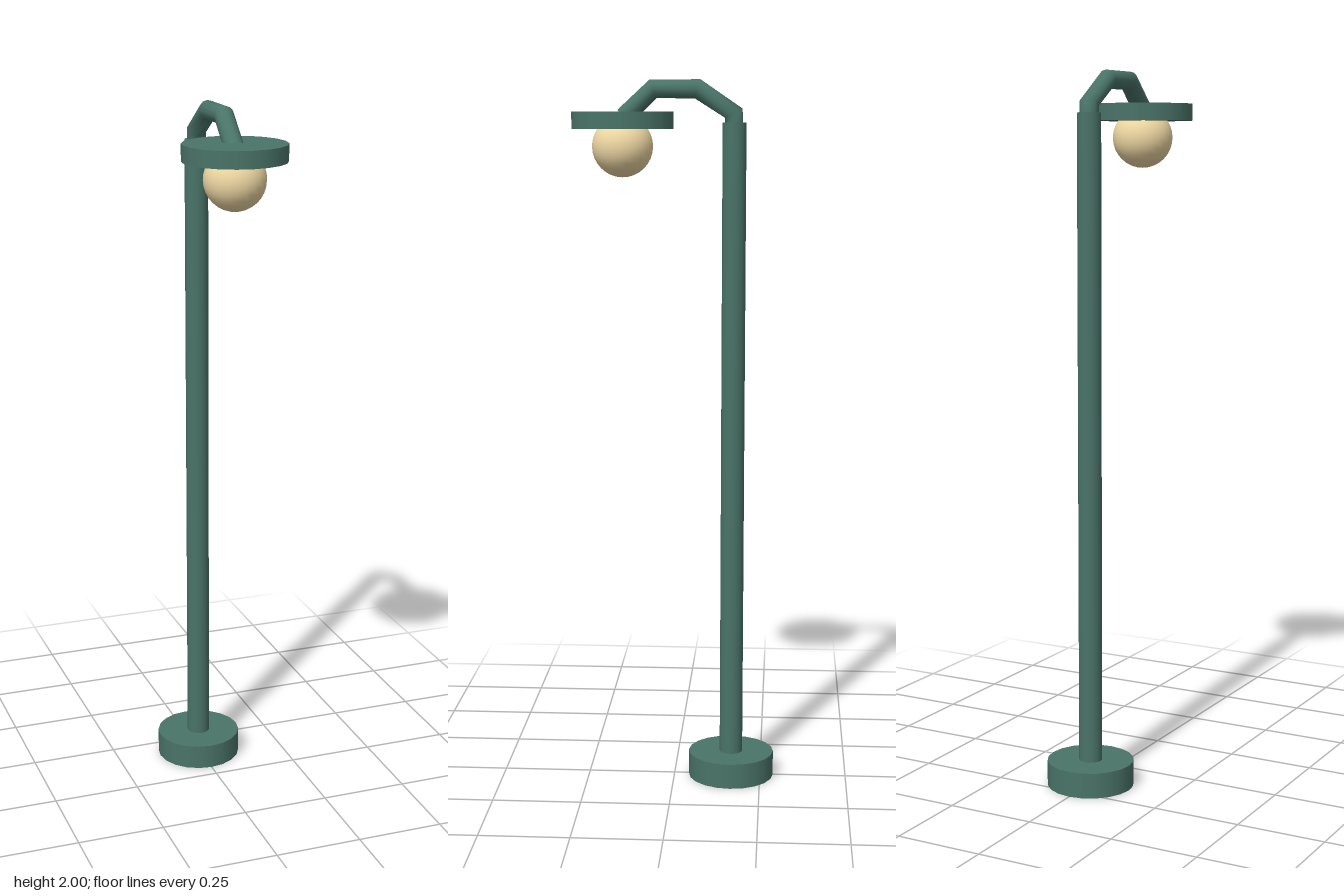
import * as THREE from 'three';

const POLE_Z = -0.165, LAMP_Z = 0.145;

function add(group, name, geometry, material, y, z) {
  const mesh = new THREE.Mesh(geometry, material);
  mesh.name = name;
  mesh.position.set(0, y, z);
  group.add(mesh);
}

// Bent pipe: rings of a cylinder are moved onto the points of a path in the yz plane
function bentPipe(path, radius, sides) {
  const geo = new THREE.CylinderGeometry(radius, radius, 1, sides, path.length - 1, true);
  const pos = geo.attributes.position, nor = geo.attributes.normal;
  const last = path.length - 1;
  for (let i = 0; i < pos.count; i++) {
    const k = last - Math.floor(i / (sides + 1));
    const before = path[k].clone().sub(path[Math.max(k - 1, 0)]).normalize();
    const after = path[Math.min(k + 1, last)].clone().sub(path[k]).normalize();
    const t = before.add(after).normalize(); // x holds z, y holds y
    const side = nor.getX(i), out = nor.getZ(i);
    nor.setXYZ(i, side, -t.x * out, t.y * out);
    pos.setXYZ(i, side * radius, path[k].y - t.x * out * radius, path[k].x + t.y * out * radius);
  }
  return geo;
}

export function createModel() {
  const group = new THREE.Group();
  group.name = 'streetLamp';
  const green = new THREE.MeshStandardMaterial({ color: 0x4a7468 });
  const pipeGreen = new THREE.MeshStandardMaterial({ color: 0x4a7468, side: THREE.DoubleSide });
  const glow = new THREE.MeshStandardMaterial({ color: 0xf0d9a4 });

  // Foot and post
  add(group, 'base', new THREE.CylinderGeometry(0.123, 0.123, 0.072, 20), green, 0.036, POLE_Z);
  add(group, 'pole', new THREE.CylinderGeometry(0.033, 0.033, 1.835, 16), green, 0.9675, POLE_Z);

  // Curved arm from the pole top to the shade, as (z, y) points
  const path = [[-0.163, 1.86], [-0.163, 1.91], [-0.063, 1.976], [0.06, 1.976], [0.14, 1.9]]
    .map(([z, y]) => new THREE.Vector2(z, y));
  add(group, 'arm', bentPipe(path, 0.027, 12), pipeGreen, 0, 0);

  // Lamp head
  add(group, 'shade', new THREE.CylinderGeometry(0.142, 0.142, 0.047, 20), green, 1.891, LAMP_Z);
  add(group, 'bulb', new THREE.SphereGeometry(0.085, 24, 16), glow, 1.82, LAMP_Z);
  return group;
}
